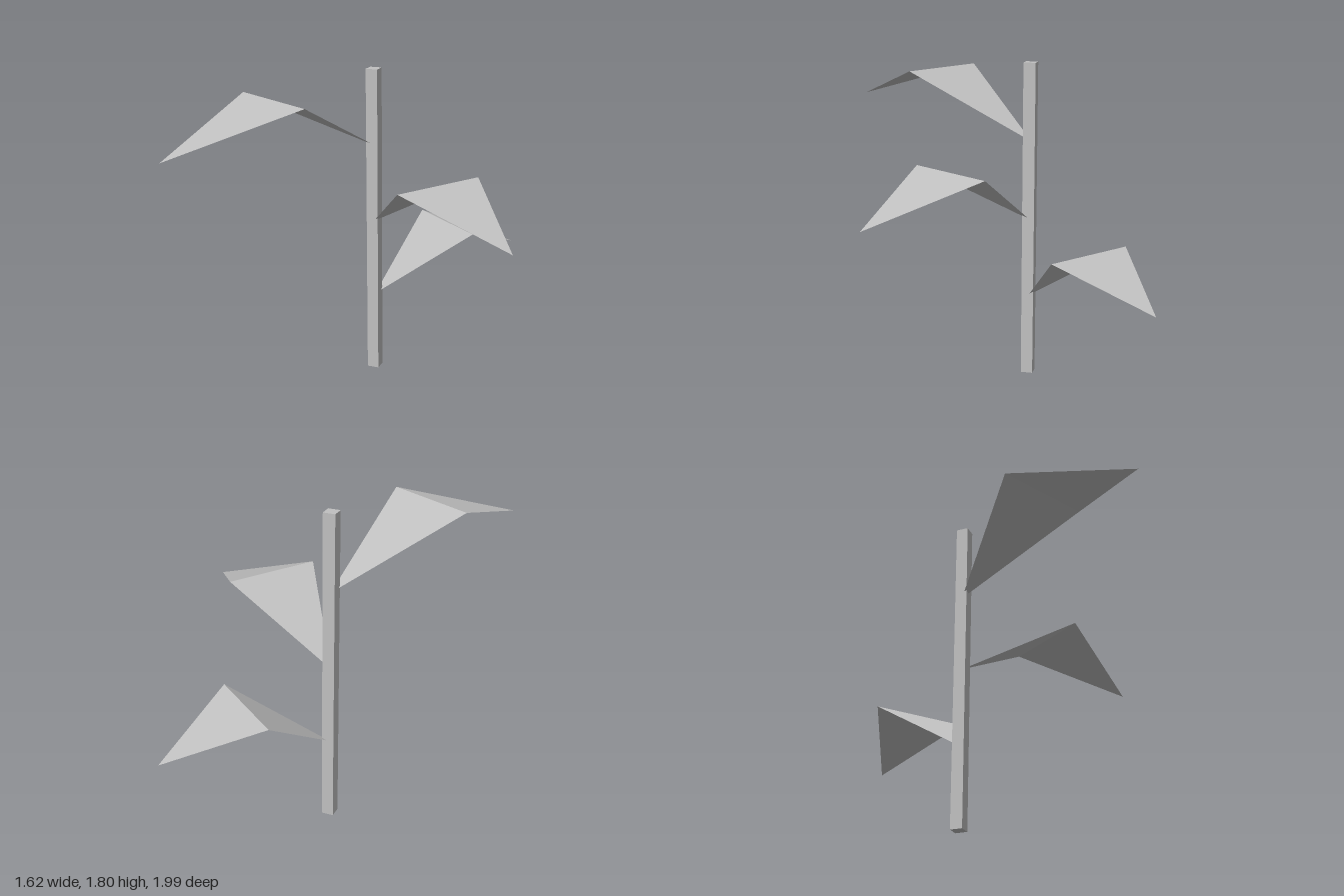
import * as THREE from 'three';

const STEM = { x: -0.182, z: -0.21, width: 0.068, height: 1.805 };

// Folded leaf: rises from a narrow base to a wide crease, then droops to a point along +z.
function leafGeometry(length) {
  const crease = 0.488 * length;
  const points = [
    -0.015, 0, 0, 0.015, 0, 0,
    -0.271, 0.338, crease, 0.271, 0.338, crease,
    0, 0.126, length,
  ];
  const indexed = new THREE.BufferGeometry();
  indexed.setAttribute('position', new THREE.Float32BufferAttribute(points, 3));
  indexed.setIndex([0, 2, 3, 0, 3, 1, 2, 4, 3]);
  const geometry = indexed.toNonIndexed(); // separate faces keep the crease sharp
  geometry.computeVertexNormals();
  return geometry;
}

export function createModel() {
  const model = new THREE.Group();
  model.name = 'plant';
  const grey = new THREE.MeshStandardMaterial({ color: 0xc0c0c0, side: THREE.DoubleSide });
  grey.name = 'light grey';

  // Square stem
  const stem = new THREE.Mesh(new THREE.BoxGeometry(STEM.width, STEM.height, STEM.width), grey);
  stem.name = 'stem';
  stem.position.set(STEM.x, STEM.height / 2, STEM.z);
  model.add(stem);

  // Leaves, each with its attachment point, length and heading
  const leaves = [
    { name: 'upperLeaf', at: [-0.2, 1.385, -0.185], length: 1.326, heading: -0.482 },
    { name: 'middleLeaf', at: [-0.158, 0.936, -0.193], length: 1.151, heading: 0.999 },
    { name: 'lowerLeaf', at: [-0.162, 0.486, -0.232], length: 0.97, heading: 2.485 },
  ];
  for (const { name, at, length, heading } of leaves) {
    const leaf = new THREE.Mesh(leafGeometry(length), grey);
    leaf.name = name;
    leaf.position.set(...at);
    leaf.rotation.y = heading;
    model.add(leaf);
  }
  return model;
}
